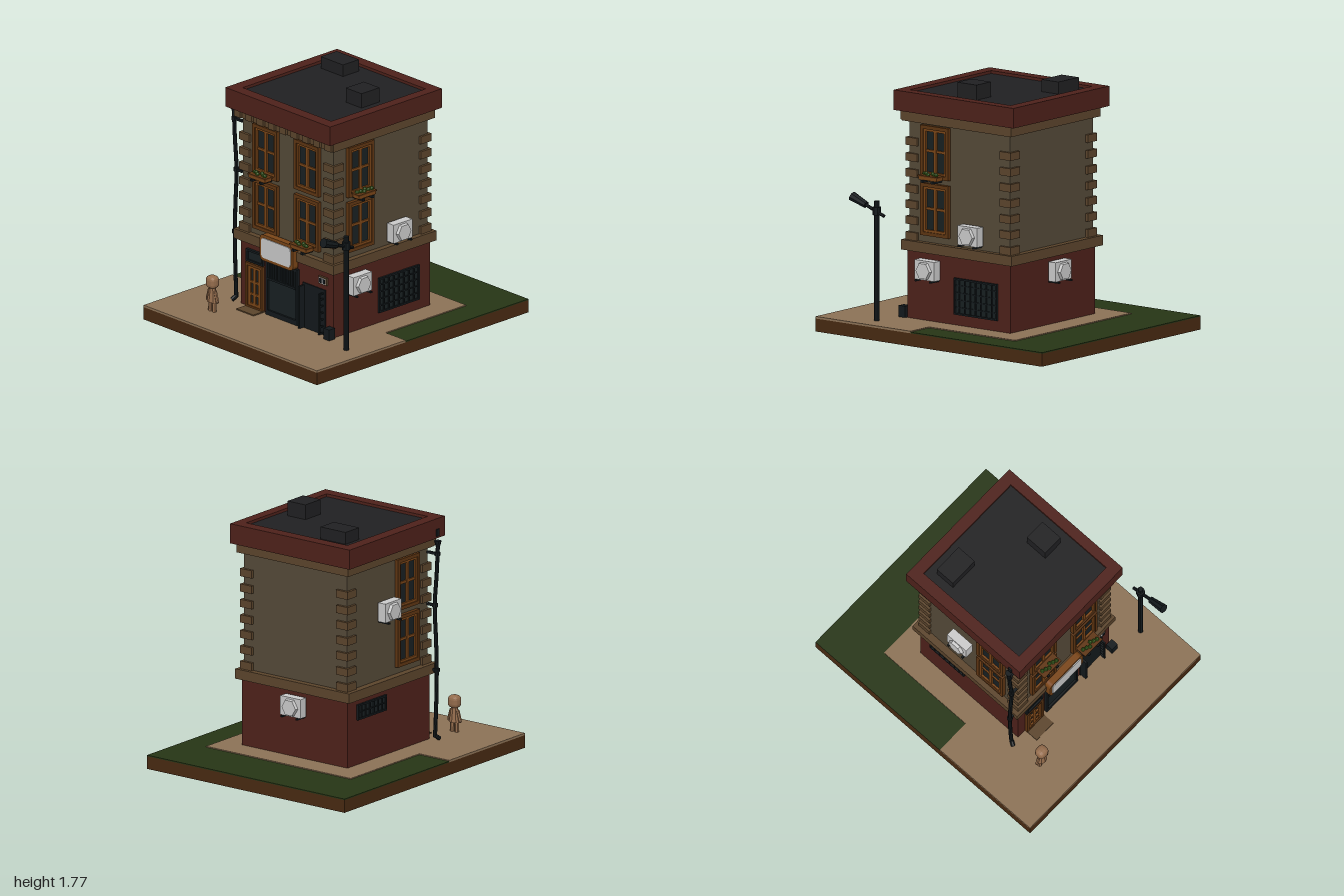
import * as THREE from 'three';
import { RoundedBoxGeometry } from 'three/addons/geometries/RoundedBoxGeometry.js';

const C = { brick: 0x4e211a, wall: 0x554a38, stone: 0x5c452c, wood: 0x7a4517, darkWood: 0x5e3512, glass: 0x182022,
  metal: 0x13191c, roof: 0x202022, soil: 0x482a12, grass: 0x263515, paving: 0x8c7256, leaf: 0x3f6a1c, skin: 0x946c4c, white: 0xcccccc };
const mats = {};
const mat = (c) => mats[c] ??= new THREE.MeshStandardMaterial({ color: C[c], flatShading: true });

function add(parent, name, geo, c, x = 0, y = 0, z = 0) {
  const m = new THREE.Mesh(geo, mat(c));
  m.name = name;
  m.position.set(x, y, z);
  parent.add(m);
  return m;
}
// Box given by its limits on each axis
function box(parent, name, c, x0, x1, y0, y1, z0, z1) {
  return add(parent, name, new THREE.BoxGeometry(x1 - x0, y1 - y0, z1 - z0), c, (x0 + x1) / 2, (y0 + y1) / 2, (z0 + z1) / 2);
}
function group(parent, name) {
  const g = new THREE.Group();
  g.name = name;
  parent.add(g);
  return g;
}
// Group on a wall whose local +z points out of that wall
function onWall(parent, name, side, along, y, out) {
  const g = group(parent, name);
  if (side === 'front') g.position.set(along, y, out);
  if (side === 'back') { g.position.set(along, y, out); g.rotation.y = Math.PI; }
  if (side === 'right') { g.position.set(out, y, along); g.rotation.y = Math.PI / 2; }
  if (side === 'left') { g.position.set(out, y, along); g.rotation.y = -Math.PI / 2; }
  return g;
}
// Four bars around a w x h opening, centred on the group's origin
function frame(g, name, c, w, h, t, z0, z1) {
  for (const s of [-1, 1]) {
    const x = s * (w - t) / 2, y = s * (h - t) / 2;
    box(g, name, c, x - t / 2, x + t / 2, -h / 2, h / 2, z0, z1);
    box(g, name, c, -w / 2 + t, w / 2 - t, y - t / 2, y + t / 2, z0, z1);
  }
}
function sashWindow(parent, side, along, y, out) {
  const g = onWall(parent, 'window', side, along, y, out);
  box(g, 'windowGlass', 'glass', -0.1, 0.1, -0.16, 0.16, 0, 0.006);
  frame(g, 'windowSurround', 'darkWood', 0.245, 0.365, 0.025, 0, 0.028);
  frame(g, 'windowSash', 'wood', 0.195, 0.315, 0.016, 0, 0.02);
  box(g, 'windowMullion', 'wood', -0.012, 0.012, -0.15, 0.15, 0, 0.018);
  box(g, 'windowRail', 'wood', -0.09, 0.09, -0.003, 0.015, 0, 0.016);
}
function flowerBox(parent, side, along, y, out) {
  const g = onWall(parent, 'flowerBox', side, along, y, out);
  box(g, 'planter', 'wood', -0.08, 0.08, 0, 0.03, 0.025, 0.09);
  box(g, 'planterRim', 'darkWood', -0.086, 0.086, 0.022, 0.032, 0.02, 0.095);
  for (const x of [-0.045, 0.045]) box(g, 'planterBracket', 'metal', x - 0.01, x + 0.01, -0.018, 0, 0, 0.1);
  for (let i = 0; i < 6; i++)
    add(g, 'plant', new THREE.IcosahedronGeometry(0.016, 0), 'leaf', -0.06 + i * 0.024, 0.037 + (i % 2) * 0.006, 0.05 + (i % 3) * 0.01);
}
function airConditioner(parent, side, along, y, out) {
  const g = onWall(parent, 'airConditioner', side, along, y, out);
  box(g, 'unitBody', 'white', -0.088, 0.088, -0.065, 0.07, 0.008, 0.072);
  const fan = add(g, 'fanCover', new THREE.CylinderGeometry(0.06, 0.066, 0.022, 6), 'white', 0, 0, 0.082);
  fan.rotation.set(Math.PI / 2, Math.PI / 6, 0, 'XYZ');
  fan.rotation.y = Math.PI / 2;
  for (const x of [-0.065, 0.065]) {
    box(g, 'unitBracket', 'metal', x - 0.008, x + 0.008, -0.077, -0.065, 0, 0.09);
    box(g, 'bracketUpright', 'metal', x - 0.008, x + 0.008, -0.077, 0.03, 0, 0.01);
  }
}
function roundedRect(w, h, r) {
  const s = new THREE.Shape(), a = w / 2 - r, b = h / 2 - r;
  s.absarc(a, b, r, 0, Math.PI / 2);
  s.absarc(-a, b, r, Math.PI / 2, Math.PI);
  s.absarc(-a, -b, r, Math.PI, Math.PI * 1.5);
  s.absarc(a, -b, r, Math.PI * 1.5, Math.PI * 2);
  return s;
}
const slab = (w, h, r, depth) => new THREE.ExtrudeGeometry(roundedRect(w, h, r), { depth, bevelEnabled: false, curveSegments: 4 });
// Straight bar between two points
function rod(parent, name, c, a, b, r, n = 8) {
  const p = new THREE.Vector3(...a), d = new THREE.Vector3(...b).sub(p);
  const m = add(parent, name, new THREE.CylinderGeometry(r, r, d.length(), n), c);
  m.position.copy(p).addScaledVector(d, 0.5);
  m.quaternion.setFromUnitVectors(new THREE.Vector3(0, 1, 0), d.normalize());
  return m;
}

function buildGround(root) {
  const g = group(root, 'ground');
  box(g, 'base', 'soil', -0.86, 0.86, 0, 0.09, -1, 1);
  box(g, 'grass', 'grass', -0.86, 0.86, 0.09, 0.098, -1, 0.16);
  box(g, 'pavement', 'paving', -0.86, 0.86, 0.09, 0.105, 0.16, 1);
  box(g, 'sidePath', 'paving', -0.6, 0.66, 0.09, 0.105, -0.6, 0.16);
  box(g, 'doorstep', 'stone', -0.36, -0.19, 0.1, 0.113, 0.49, 0.6);
}

function buildShell(root) {
  const g = group(root, 'building');
  box(g, 'groundFloorWall', 'brick', -0.43, 0.49, 0.1, 0.585, -0.42, 0.49);
  box(g, 'ledge', 'stone', -0.47, 0.52, 0.58, 0.65, -0.455, 0.52);
  box(g, 'upperWall', 'wall', -0.42, 0.48, 0.65, 1.5, -0.41, 0.48);
  box(g, 'cornice', 'stone', -0.455, 0.515, 1.48, 1.55, -0.445, 0.515);
  for (let i = 0; i < 9; i++) {
    const x = -0.42 + i * 0.1125;
    box(g, 'dentil', 'stone', x - 0.03, x + 0.03, 1.485, 1.55, 0.5, 0.535);
  }
  // corner stones
  for (let i = 0; i < 7; i++)
    for (const sx of [-1, 1]) for (const sz of [-1, 1]) {
      const x = 0.03 + sx * 0.418, z = 0.035 + sz * 0.415, y = 0.65 + i * 0.11;
      box(g, 'cornerStone', 'stone', x - 0.05, x + 0.05, y, y + 0.055, z - 0.05, z + 0.05);
    }
  // parapet with a sunken roof
  const rim = new THREE.Shape([[-0.5, -0.57], [0.54, -0.57], [0.54, 0.487], [-0.5, 0.487]].map((p) => new THREE.Vector2(...p)));
  rim.holes.push(new THREE.Path([[-0.415, -0.487], [-0.415, 0.403], [0.465, 0.403], [0.465, -0.487]].map((p) => new THREE.Vector2(...p))));
  add(g, 'parapet', new THREE.ExtrudeGeometry(rim, { depth: 0.14, bevelEnabled: false }), 'brick', 0, 1.55, 0).rotation.x = -Math.PI / 2;
  box(g, 'roof', 'roof', -0.42, 0.47, 1.55, 1.67, -0.41, 0.49);
  box(g, 'roofVent', 'roof', -0.35, -0.13, 1.66, 1.755, -0.34, -0.19);
  box(g, 'roofHatch', 'roof', 0.235, 0.39, 1.66, 1.775, -0.04, 0.13);
}

function buildShopfront(root) {
  const g = group(root, 'shopfront');
  // entrance door and fanlight
  const door = onWall(g, 'entranceDoor', 'front', -0.278, 0.27, 0.49);
  box(door, 'doorGlass', 'glass', -0.07, 0.07, -0.16, 0.16, 0, 0.006);
  frame(door, 'doorFrame', 'darkWood', 0.165, 0.33, 0.02, 0, 0.025);
  frame(door, 'doorLeaf', 'wood', 0.125, 0.3, 0.024, 0, 0.018);
  box(door, 'doorMullion', 'wood', -0.012, 0.012, -0.15, 0.15, 0, 0.018);
  for (const y of [-0.06, 0.03]) box(door, 'doorRail', 'wood', -0.06, 0.06, y - 0.008, y + 0.008, 0, 0.018);
  box(g, 'fanlight', 'glass', -0.345, -0.205, 0.455, 0.52, 0.49, 0.498);
  onWall(g, 'fanlightFrame', 'front', -0.278, 0.486, 0.49).add(...(() => {
    const t = new THREE.Group();
    frame(t, 'fanlightBar', 'metal', 0.165, 0.09, 0.014, 0, 0.02);
    return t.children.slice();
  })());
  // display window with slatted head
  const shop = onWall(g, 'displayWindow', 'front', -0.005, 0.31, 0.49);
  box(shop, 'displayGlass', 'glass', -0.155, 0.155, -0.205, 0.205, 0, 0.008);
  frame(shop, 'displayFrame', 'metal', 0.315, 0.41, 0.018, 0, 0.022);
  box(shop, 'displaySill', 'metal', -0.14, 0.14, -0.19, -0.17, 0, 0.022);
  box(shop, 'displayRail', 'metal', -0.14, 0.14, 0.055, 0.07, 0, 0.024);
  for (let i = 0; i < 9; i++) box(shop, 'slat', 'metal', -0.135 + i * 0.032, -0.121 + i * 0.032, 0.07, 0.2, 0, 0.02);
  // sign board
  add(g, 'signFrame', slab(0.33, 0.19, 0.035, 0.05), 'wood', -0.01, 0.61, 0.505);
  add(g, 'signPanel', slab(0.29, 0.145, 0.025, 0.008), 'white', -0.01, 0.61, 0.553);
  // side door with an open gate
  box(g, 'sideDoor', 'metal', 0.19, 0.415, 0.1, 0.435, 0.485, 0.498);
  const gate = onWall(g, 'openGate', 'right', 0.515, 0.265, 0.395);
  frame(gate, 'gateFrame', 'metal', 0.05, 0.3, 0.01, -0.006, 0.006);
  for (let i = 0; i < 5; i++) box(gate, 'gateBar', 'metal', -0.02, 0.02, -0.1 + i * 0.05, -0.09 + i * 0.05, -0.006, 0.006);
  box(g, 'gateLeaf', 'metal', 0.195, 0.21, 0.11, 0.42, 0.49, 0.545);
  box(g, 'bin', 'metal', 0.455, 0.51, 0.105, 0.185, 0.495, 0.55);
  // meter box
  box(g, 'meterBox', 'stone', 0.355, 0.435, 0.475, 0.53, 0.49, 0.505);
  box(g, 'meterPlate', 'white', 0.362, 0.428, 0.482, 0.523, 0.5, 0.508);
  for (const x of [0.378, 0.412]) box(g, 'meterDial', 'metal', x - 0.01, x + 0.01, 0.487, 0.518, 0.5, 0.512);
}

// Dark barred window of the ground floor sides
function barredWindow(root, side, along, y, out, w, h, cols, rows) {
  const g = onWall(root, 'barredWindow', side, along, y, out);
  box(g, 'pane', 'glass', -w / 2, w / 2, -h / 2, h / 2, -0.005, 0.005);
  frame(g, 'barFrame', 'metal', w, h, 0.012, 0, 0.016);
  for (let i = 1; i < cols; i++) box(g, 'bar', 'metal', -w / 2 + i * w / cols - 0.004, -w / 2 + i * w / cols + 0.004, -h / 2, h / 2, 0, 0.014);
  for (let i = 1; i < rows; i++) box(g, 'bar', 'metal', -w / 2, w / 2, -h / 2 + i * h / rows - 0.004, -h / 2 + i * h / rows + 0.004, 0, 0.012);
}

function buildDrainpipe(root) {
  const g = group(root, 'drainpipe');
  const pts = [[-0.51, 1.5], [-0.5, 1.3], [-0.483, 1.07], [-0.495, 0.8], [-0.5, 0.6], [-0.495, 0.35], [-0.485, 0.13]];
  const path = new THREE.CatmullRomCurve3(pts.map(([x, y]) => new THREE.Vector3(x, y, 0.48)));
  add(g, 'pipe', new THREE.TubeGeometry(path, 24, 0.014, 8), 'metal');
  add(g, 'pipeFunnel', new THREE.CylinderGeometry(0.026, 0.015, 0.04, 8), 'metal', -0.51, 1.515, 0.48);
  rod(g, 'pipeSpout', 'metal', [-0.485, 0.14, 0.48], [-0.5, 0.115, 0.51], 0.016);
  box(g, 'gutterOutlet', 'metal', -0.51, -0.49, 1.565, 1.615, 0.47, 0.5);
  for (const [x, y] of [[-0.505, 1.44], [-0.485, 1.07], [-0.5, 0.61]]) {
    add(g, 'pipeCollar', new THREE.CylinderGeometry(0.021, 0.021, 0.025, 8), 'metal', x, y, 0.48);
    box(g, 'pipeBracket', 'metal', x, -0.42, y - 0.008, y + 0.008, 0.47, 0.49);
  }
}

function buildStreetLamp(root) {
  const g = group(root, 'streetLamp'), x = 0.71, z = 0.58;
  rod(g, 'lampPost', 'metal', [x, 0.1, z], [x, 0.94, z], 0.018);
  add(g, 'lampJoint', new THREE.CylinderGeometry(0.03, 0.03, 0.055, 8), 'metal', x, 0.87, z);
  rod(g, 'lampArm', 'metal', [x, 0.84, 0.515], [x, 0.91, 0.7], 0.012);
  const head = add(g, 'lampHead', new THREE.CylinderGeometry(0.024, 0.034, 0.13, 8), 'metal', x, 0.923, 0.735);
  head.rotation.x = -Math.PI / 2 - 0.36;
}

function buildFigure(root) {
  const g = group(root, 'figure');
  g.position.set(-0.455, 0.105, 0.735);
  add(g, 'head', new RoundedBoxGeometry(0.085, 0.09, 0.078, 2, 0.03), 'skin', 0, 0.215, 0);
  const torso = add(g, 'torso', new THREE.CylinderGeometry(0.025, 0.042, 0.105, 8), 'skin', 0, 0.122, 0);
  torso.scale.z = 0.8;
  for (const s of [-1, 1]) {
    rod(g, 'arm', 'skin', [s * 0.028, 0.155, 0], [s * 0.048, 0.085, 0], 0.012, 6);
    add(g, 'hand', new THREE.IcosahedronGeometry(0.013, 0), 'skin', s * 0.048, 0.078, 0);
    rod(g, 'leg', 'skin', [s * 0.02, 0, 0], [s * 0.018, 0.08, 0], 0.016, 6);
  }
}

export function createModel() {
  const root = new THREE.Group();
  root.name = 'cornerShopBuilding';
  buildGround(root);
  buildShell(root);
  buildShopfront(root);
  for (const y of [1.285, 0.882]) {
    for (const x of [-0.178, 0.233]) sashWindow(root, 'front', x, y, 0.48);
    sashWindow(root, 'right', 0.24, y, 0.48);
    sashWindow(root, 'left', 0.24, y, -0.42);
  }
  flowerBox(root, 'front', -0.178, 1.1, 0.49);
  flowerBox(root, 'front', 0.233, 0.7, 0.49);
  flowerBox(root, 'right', 0.245, 1.1, 0.48);
  airConditioner(root, 'right', -0.098, 0.75, 0.49);
  airConditioner(root, 'right', 0.282, 0.465, 0.49);
  airConditioner(root, 'left', -0.01, 1.145, -0.435);
  airConditioner(root, 'back', 0.007, 0.477, -0.425);
  barredWindow(root, 'right', -0.12, 0.307, 0.49, 0.38, 0.255, 8, 5);
  barredWindow(root, 'left', -0.16, 0.48, -0.43, 0.32, 0.11, 7, 2);
  buildDrainpipe(root);
  buildStreetLamp(root);
  buildFigure(root);
  return root;
}
